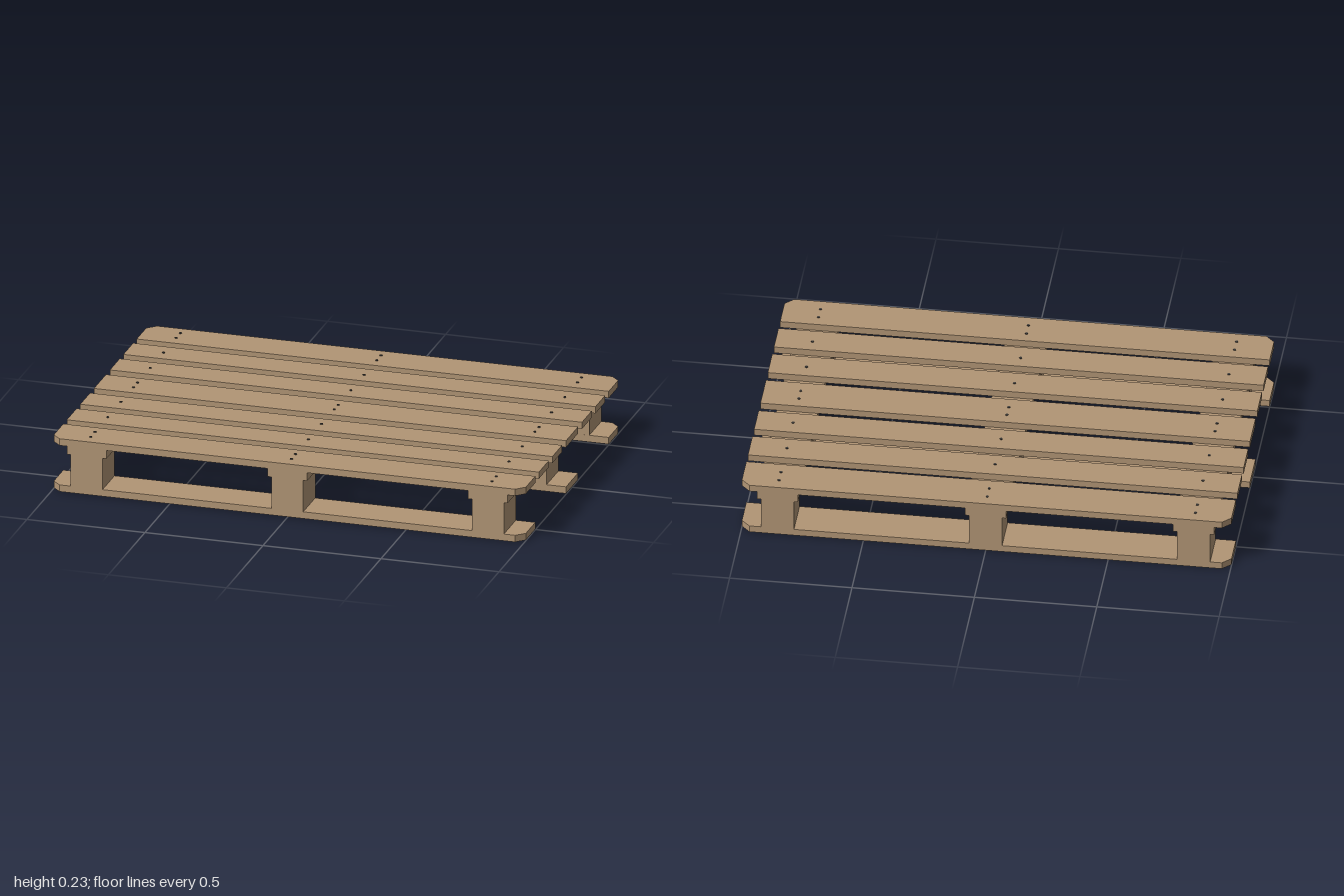
import * as THREE from 'three';

const wood = new THREE.MeshStandardMaterial({ color: 0xb19575 });
wood.name = 'wood';
const steel = new THREE.MeshStandardMaterial({ color: 0x45423f });
steel.name = 'nail steel';

// Heights of the layers, bottom to top
const BOTTOM = 0.003, SKID_TOP = 0.032, BLOCK_TOP = 0.168, BEARER_TOP = 0.203, DECK_TOP = 0.232;
const WIDE = 0.165, NARROW = 0.134, CUT = 0.035;
const HALF_Z = 0.667, EDGE_Z = HALF_Z - WIDE / 2;
const COLUMNS = [-0.85, 0, 0.85];

export function createModel() {
  const model = new THREE.Group();
  model.name = 'pallet';

  const add = (name, geometry, material, x, y, z) => {
    const mesh = new THREE.Mesh(geometry, material);
    mesh.name = name;
    mesh.position.set(x, y, z);
    model.add(mesh);
  };

  const box = (name, w, y0, y1, d, x, z) =>
    add(name, new THREE.BoxGeometry(w, y1 - y0, d), wood, x, (y0 + y1) / 2, z);

  // Full-length edge board with its two outer corners cut; side is +1 front, -1 back
  const edgeBoard = (name, y0, y1, side) => {
    const h = WIDE / 2;
    const outline = [[-1, -h], [1, -h], [1, h - CUT], [1 - CUT, h], [CUT - 1, h], [-1, h - CUT]];
    const shape = new THREE.Shape(outline.map(([x, z]) => new THREE.Vector2(x, -side * z)));
    const geometry = new THREE.ExtrudeGeometry(shape, { depth: y1 - y0, bevelEnabled: false });
    geometry.rotateX(-Math.PI / 2);
    add(name, geometry, wood, 0, y0, side * EDGE_Z);
  };

  // Edge boards of deck and base
  for (const side of [-1, 1]) {
    edgeBoard('deckEdgeBoard', BEARER_TOP, DECK_TOP, side);
    edgeBoard('baseEdgeBoard', BOTTOM, SKID_TOP, side);
  }

  // Inner deck boards and middle base board
  box('deckMiddleBoard', 2, BEARER_TOP, DECK_TOP, WIDE, 0, 0);
  box('baseMiddleBoard', 2, BOTTOM, SKID_TOP, WIDE, 0, 0);
  for (const z of [-0.387, -0.203, 0.203, 0.387]) {
    box('deckNarrowBoard', 2, BEARER_TOP, DECK_TOP, NARROW, 0, z);
  }

  // Cross bearers and the nine blocks below them
  for (const x of COLUMNS) {
    box('crossBearer', 0.168, BLOCK_TOP, BEARER_TOP, HALF_Z * 2, x, 0);
    for (const z of [-EDGE_Z, 0, EDGE_Z]) box('block', 0.135, SKID_TOP, BLOCK_TOP, WIDE, x, z);
  }

  // Nail heads: pairs in wide boards, singles in narrow ones
  const head = new THREE.CylinderGeometry(0.006, 0.006, 0.006, 8);
  const pairs = [-0.616, -0.558, -0.03, 0.025, 0.553, 0.611];
  const singles = [-0.385, -0.203, 0.197, 0.378];
  for (const x of COLUMNS) {
    for (const z of [...pairs, ...singles]) add('deckNail', head, steel, x, DECK_TOP, z);
    for (const z of pairs) add('baseNail', head, steel, x, BOTTOM, z);
  }

  return model;
}
